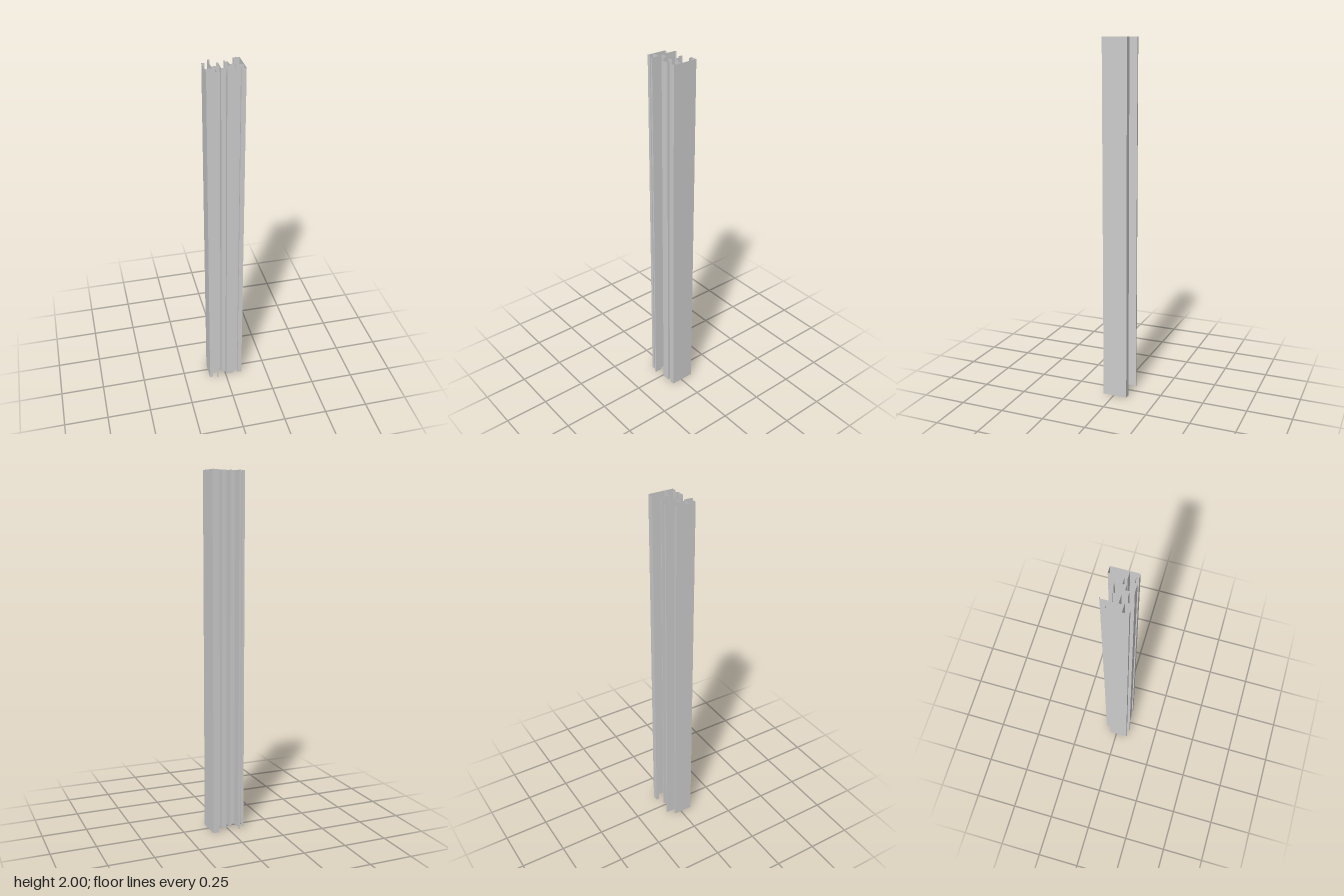
import * as THREE from 'three';

const HEIGHT = 2;

// Cross-section runs of the open-ended frame section, as [x, z] points.
const runs = {
  sideWallAndBackLip: [[0.065, -0.06], [0.065, -0.077], [0.1, -0.077], [0.1, 0.063]],
  frontFace: [[0.1, 0.063], [0.075, 0.063], [0.075, 0.05], [0.05, 0.05], [0.05, 0.063], [0.005, 0.063], [0.005, 0.04]],
  steppedWeb: [[0.1, 0.015], [0.06, 0.015], [0.06, 0], [0.03, 0], [0.03, 0.02], [0.005, 0.02], [0.005, 0.04],
    [-0.02, 0.04], [-0.02, 0.01], [-0.063, 0.01], [-0.063, 0.035], [-0.1, 0.035]],
  outerFlange: [[-0.085, -0.04], [-0.1, -0.04], [-0.1, 0.068], [-0.082, 0.068], [-0.082, 0.055]],
  frontLip: [[-0.063, 0.035], [-0.05, 0.035], [-0.05, 0.079], [-0.06, 0.079]],
  backFin: [[-0.063, 0.01], [-0.063, -0.077], [-0.052, -0.077]],
  backRib: [[0.03, 0], [0.03, -0.035], [0.013, -0.035], [0.013, -0.055], [0.02, -0.055]],
  innerRib: [[-0.02, 0.01], [-0.02, -0.03], [-0.03, -0.03]],
};

// Sweep a run of points straight up into flat, sharp-edged sheets.
function sweep(points) {
  const positions = [];
  for (let i = 0; i < points.length - 1; i++) {
    const [x0, z0] = points[i];
    const [x1, z1] = points[i + 1];
    positions.push(
      x0, 0, z0, x1, 0, z1, x1, HEIGHT, z1,
      x0, 0, z0, x1, HEIGHT, z1, x0, HEIGHT, z0,
    );
  }
  const geometry = new THREE.BufferGeometry();
  geometry.setAttribute('position', new THREE.Float32BufferAttribute(positions, 3));
  geometry.computeVertexNormals();
  return geometry;
}

export function createModel() {
  const group = new THREE.Group();
  group.name = 'frameProfile';
  const material = new THREE.MeshStandardMaterial({
    color: 0xcccccc, flatShading: true, side: THREE.DoubleSide,
  });
  for (const [name, points] of Object.entries(runs)) {
    const mesh = new THREE.Mesh(sweep(points), material);
    mesh.name = name;
    group.add(mesh);
  }
  return group;
}
